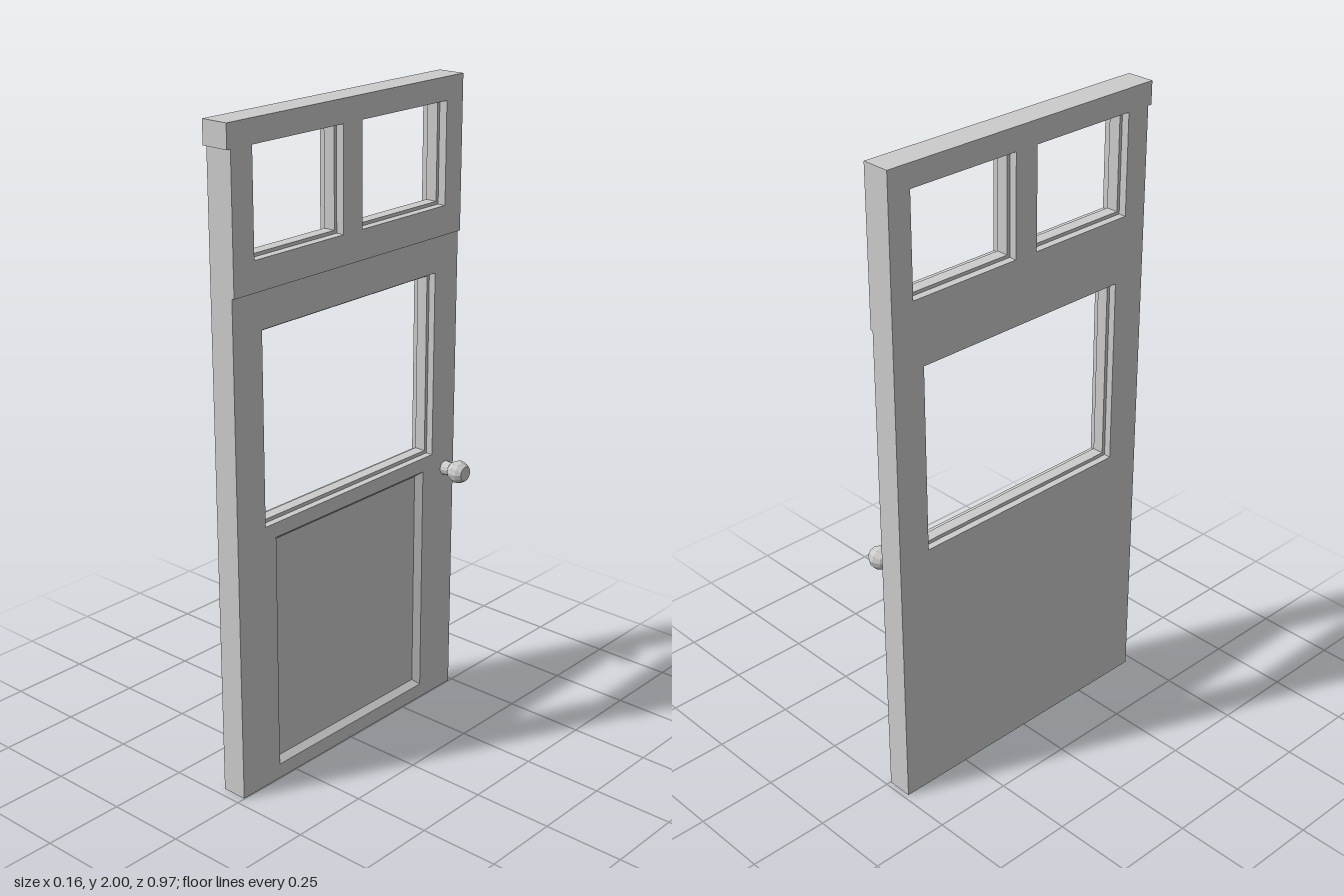
import * as THREE from 'three';

const grey = new THREE.MeshStandardMaterial({ color: 0xcccccc, flatShading: true });

// Everything is drawn as a flat elevation (x across, y up, z = depth), then turned to face +x.
const BACK = -0.082;
const DOOR_FRONT = -0.002;
const TRANSOM_FRONT = 0.006;

function add(group, name, geometry) {
  const mesh = new THREE.Mesh(geometry, grey);
  mesh.name = name;
  group.add(mesh);
  return mesh;
}

const corners = ([x0, y0, x1, y1]) =>
  [[x0, y0], [x1, y0], [x1, y1], [x0, y1]].map(([x, y]) => new THREE.Vector2(x, y));

// Flat outline with rectangular holes, extruded between two depths
function slab(outline, holes, z0, z1) {
  const shape = new THREE.Shape(outline);
  holes.forEach(h => shape.holes.push(new THREE.Path(corners(h))));
  return new THREE.ExtrudeGeometry(shape, { depth: z1 - z0, bevelEnabled: false }).translate(0, 0, z0);
}

const inset = ([x0, y0, x1, y1], d) => [x0 + d, y0 + d, x1 - d, y1 - d];

// Four sloping strips joining an outer rectangle to a deeper inner one
function slopedBorder(outer, zOuter, inner, zInner) {
  const a = corners(outer), b = corners(inner), pos = [];
  for (let i = 0; i < 4; i++) {
    const j = (i + 1) % 4;
    const p = [a[i].x, a[i].y, zOuter], q = [a[j].x, a[j].y, zOuter];
    const r = [b[j].x, b[j].y, zInner], s = [b[i].x, b[i].y, zInner];
    pos.push(...p, ...q, ...r, ...p, ...r, ...s);
  }
  const g = new THREE.BufferGeometry();
  g.setAttribute('position', new THREE.Float32BufferAttribute(pos, 3));
  g.computeVertexNormals();
  return g;
}

export function createModel() {
  const model = new THREE.Group();
  model.name = 'doorWithTransom';
  const x0 = -0.472, x1 = 0.485;

  // Door leaf with a window opening and a recessed lower panel
  const door = new THREE.Group();
  door.name = 'door';
  const windowHole = [-0.361, 0.835, 0.38, 1.418];
  const panelHole = [-0.319, 0.047, 0.337, 0.79];
  add(door, 'doorFrame', slab(corners([x0, 0, x1, 1.53]), [windowHole, panelHole], BACK, DOOR_FRONT));
  add(door, 'windowStop', slab(corners(windowHole), [inset(windowHole, 0.011)], -0.06, -0.024));
  add(door, 'lowerPanel', slab(corners(panelHole), [], BACK, -0.022));
  add(door, 'panelMoulding', slopedBorder(panelHole, DOOR_FRONT, inset(panelHole, 0.016), -0.022));
  model.add(door);

  // Transom: a frame open at the top, closed by the head rail
  const transom = new THREE.Group();
  transom.name = 'transom';
  const sill = 1.62, head = 1.93;
  const lights = [[-0.393, -0.038], [0.041, 0.411]];
  const outline = [[x0, 1.53], [x1, 1.53], [x1, head]];
  [...lights].reverse().forEach(([l, r]) => outline.push([r, head], [r, sill], [l, sill], [l, head]));
  outline.push([x0, head]);
  add(transom, 'transomFrame',
    slab(outline.map(p => new THREE.Vector2(...p)), [], BACK, TRANSOM_FRONT));

  // U-shaped stop inside each transom opening
  const t = 0.01;
  lights.forEach(([l, r]) => {
    const u = [[l, sill], [r, sill], [r, head], [r - t, head], [r - t, sill + t],
      [l + t, sill + t], [l + t, head], [l, head]];
    add(transom, 'transomStop', slab(u.map(p => new THREE.Vector2(...p)), [], -0.058, -0.02));
  });
  add(transom, 'headRail', slab(corners([-0.485, head, 0.485, 2]), [], BACK, TRANSOM_FRONT));
  model.add(transom);

  // Faceted knob on a short stem
  const profile = [[0, 0], [0.022, 0], [0.021, 0.028], [0.026, 0.032], [0.036, 0.052],
    [0.034, 0.068], [0.024, 0.084], [0, 0.084]].map(p => new THREE.Vector2(...p));
  const knob = add(model, 'doorKnob', new THREE.LatheGeometry(profile, 12).rotateX(Math.PI / 2));
  knob.position.set(0.443, 0.773, DOOR_FRONT);

  model.rotation.y = Math.PI / 2;
  const root = new THREE.Group();
  root.name = 'model';
  root.add(model);
  return root;
}
